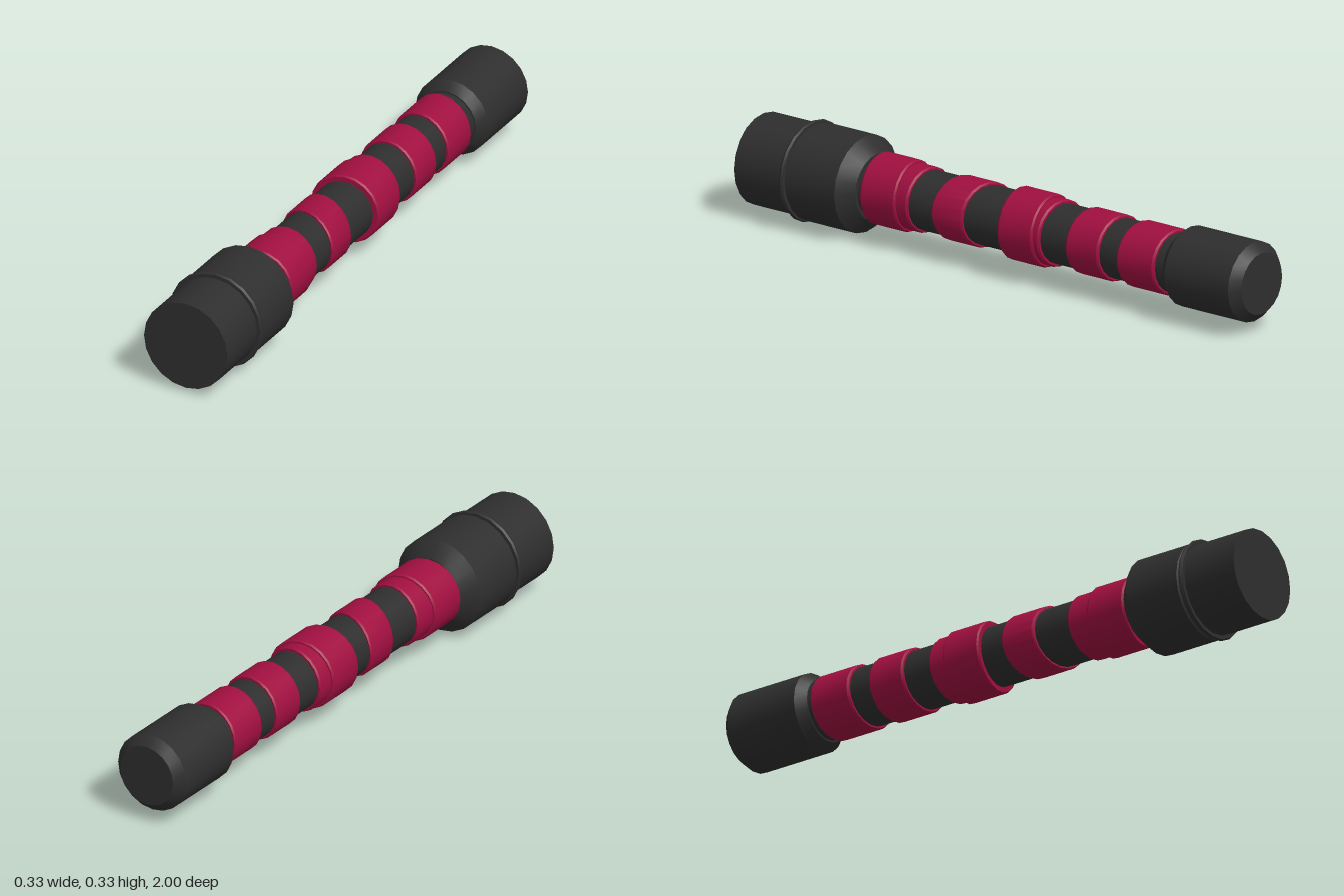
import * as THREE from 'three';
import { toCreasedNormals } from 'three/addons/utils/BufferGeometryUtils.js';

const SIDES = 20;
const AXIS_Y = 0.164;

const darkMaterial = new THREE.MeshStandardMaterial({ color: 0x2e2e2e });
const redMaterial = new THREE.MeshStandardMaterial({ color: 0xa00f40 });

// Turns [radius, z] pairs (back to front) around the long axis; tilt skews z along x.
function turned(name, profile, material, tilt = 0) {
  const points = profile.map(([r, z]) => new THREE.Vector2(r, z));
  const geometry = new THREE.LatheGeometry(points, SIDES);
  geometry.rotateX(Math.PI / 2);
  const pos = geometry.attributes.position;
  for (let i = 0; i < pos.count; i++) {
    pos.setZ(i, pos.getZ(i) + tilt * pos.getX(i));
  }
  const mesh = new THREE.Mesh(toCreasedNormals(geometry, 0.55), material);
  mesh.name = name;
  mesh.position.y = AXIS_Y;
  return mesh;
}

export function createModel() {
  const group = new THREE.Group();
  group.name = 'wrappedHandle';

  // Chamfered end cap at the back
  group.add(turned('pommel', [
    [0, -1], [0.1, -1], [0.129, -0.97], [0.129, -0.715], [0.102, -0.685], [0, -0.685],
  ], darkMaterial));

  // Slim grip between the two ends
  group.add(turned('grip', [
    [0, -0.7], [0.097, -0.7], [0.097, 0.58], [0, 0.58],
  ], darkMaterial));

  // Tapered collar, thin ring and plain front barrel
  group.add(turned('collar', [
    [0, 0.545], [0.108, 0.545], [0.157, 0.59], [0.157, 0.785], [0.148, 0.79], [0, 0.79],
  ], darkMaterial));
  group.add(turned('ring', [
    [0.14, 0.795], [0.16, 0.795], [0.164, 0.802], [0.16, 0.81], [0.14, 0.81],
  ], darkMaterial));
  group.add(turned('barrel', [
    [0, 0.78], [0.148, 0.78], [0.148, 1], [0, 1],
  ], darkMaterial));

  // Tilted tape wraps: [back z, front z, radius, tilt]
  const wraps = [
    [-0.66, -0.512, 0.107, 0.1],
    [-0.435, -0.305, 0.107, 0.08],
    [-0.2, -0.08, 0.108, 0.1],
    [-0.16, -0.022, 0.117, -0.08],
    [0.095, 0.218, 0.106, 0.25],
    [0.333, 0.46, 0.106, 0.08],
    [0.395, 0.535, 0.115, -0.1],
  ];
  wraps.forEach(([back, front, r, tilt], i) => {
    group.add(turned(`gripWrap${i + 1}`, [
      [0.094, back], [r - 0.004, back], [r, back + 0.006],
      [r, front - 0.006], [r - 0.004, front], [0.094, front],
    ], redMaterial, tilt));
  });

  return group;
}
